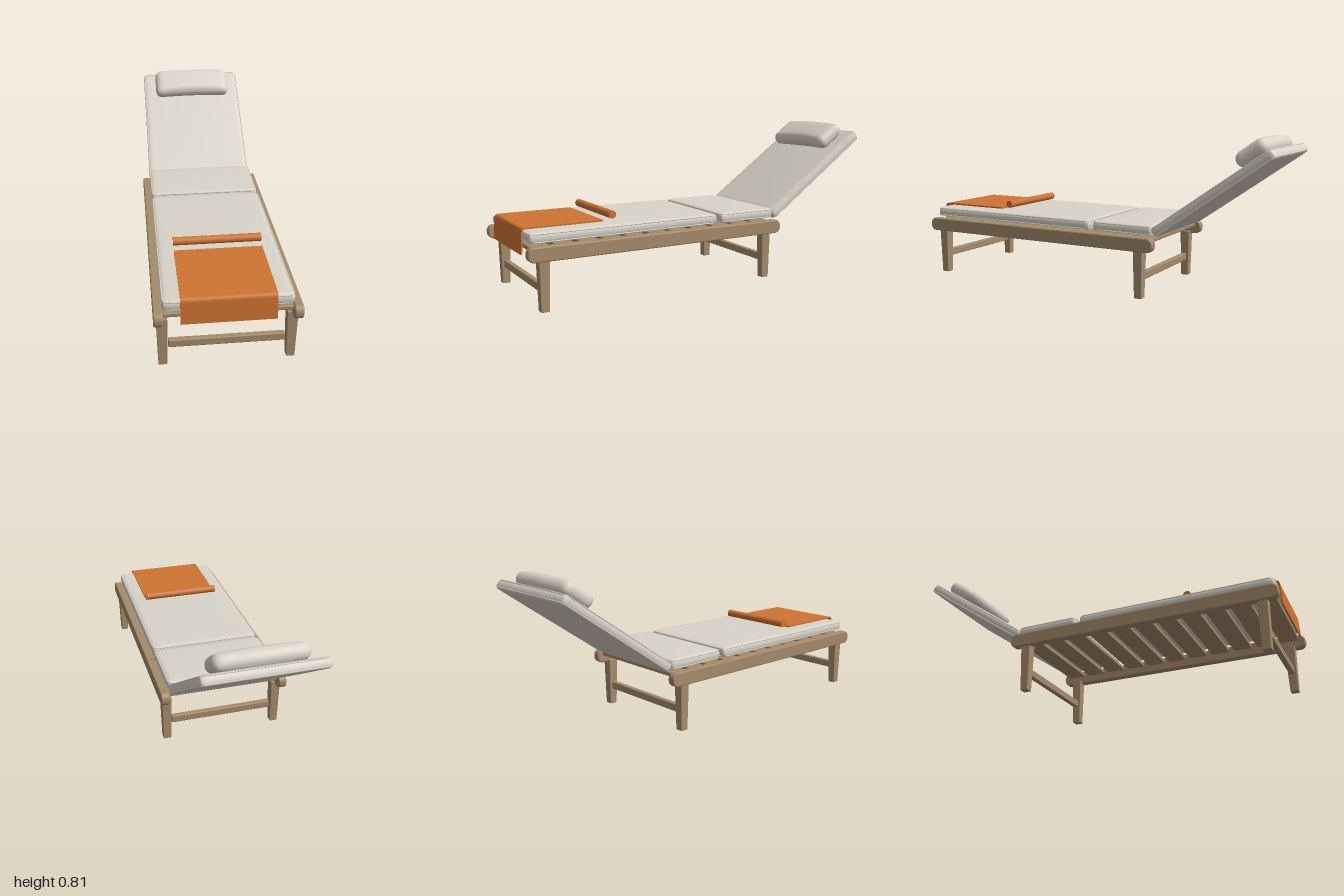
import * as THREE from 'three';
import { mergeVertices } from 'three/addons/utils/BufferGeometryUtils.js';
import { RoundedBoxGeometry } from 'three/addons/geometries/RoundedBoxGeometry.js';

const mat = (name, color) => {
  const m = new THREE.MeshStandardMaterial({ color });
  m.name = name;
  return m;
};

// Soft box: edges rounded by r, both broad faces swollen by bulge, optional arch along x
function softBox(w, h, d, r, bulge, arch = 0) {
  let g = new THREE.BoxGeometry(2, 2, 2, 24, 8, 24);
  g.deleteAttribute('normal');
  g.deleteAttribute('uv');
  g = mergeVertices(g);
  const half = new THREE.Vector3(w / 2, h / 2, d / 2);
  const inner = half.clone().subScalar(r);
  const p = new THREE.Vector3();
  const q = new THREE.Vector3();
  const pos = g.attributes.position;
  const spread = (t) => Math.sin((t * Math.PI) / 2);
  for (let i = 0; i < pos.count; i++) {
    const u = spread(pos.getX(i)), v = spread(pos.getZ(i));
    p.set(u, spread(pos.getY(i)), v).multiply(half);
    q.copy(p).clamp(inner.clone().negate(), inner);
    p.sub(q).setLength(r).add(q);
    p.y += (p.y / half.y) * bulge * (1 - u * u) * (1 - v * v);
    p.z -= arch * (1 - u * u);
    pos.setXYZ(i, p.x, p.y, p.z);
  }
  g.computeVertexNormals();
  return g;
}

// Closed piping cord following a rounded rectangle in the xz plane
function piping(w, d, corner, r) {
  const x = w / 2, z = d / 2, pts = [];
  [[1, 1, 0], [-1, 1, 1], [-1, -1, 2], [1, -1, 3]].forEach(([sx, sz, k]) => {
    for (let i = 0; i <= 4; i++) {
      const a = (k + i / 4) * Math.PI / 2;
      pts.push(new THREE.Vector3(
        sx * (x - corner) + Math.cos(a) * corner, 0, sz * (z - corner) + Math.sin(a) * corner));
    }
  });
  const path = new THREE.CurvePath();
  pts.forEach((p, i) => path.add(new THREE.LineCurve3(p, pts[(i + 1) % pts.length])));
  return new THREE.TubeGeometry(path, 160, r, 6, true);
}

export function createModel() {
  const model = new THREE.Group();
  model.name = 'sunLounger';
  const wood = mat('wood', 0xa58b6b);
  const fabric = mat('cushionFabric', 0xd9d4c8);
  const orange = mat('orangeTowel', 0xcf7433);

  const add = (name, geo, material, x = 0, y = 0, z = 0, parent = model) => {
    const m = new THREE.Mesh(geo, material);
    m.name = name;
    m.position.set(x, y, z);
    parent.add(m);
    return m;
  };

  // Side rails with rounded ends
  const rail = new THREE.Shape();
  const rl = 0.699, rh = 0.03, rr = 0.026;
  rail.moveTo(-rl + rr, -rh);
  rail.lineTo(rl - rr, -rh);
  rail.absarc(rl - rr, -rh + rr, rr, -Math.PI / 2, 0);
  rail.absarc(rl - rr, rh - rr, rr, 0, Math.PI / 2);
  rail.absarc(-rl + rr, rh - rr, rr, Math.PI / 2, Math.PI);
  rail.absarc(-rl + rr, -rh + rr, rr, Math.PI, Math.PI * 1.5);
  const railGeo = new THREE.ExtrudeGeometry(rail, {
    depth: 0.03, bevelThickness: 0.006, bevelSize: 0.006, bevelSegments: 2, curveSegments: 8 });
  railGeo.translate(0, 0, -0.015).rotateY(Math.PI / 2);
  for (const s of [1, -1]) add(s > 0 ? 'leftRail' : 'rightRail', railGeo, wood, s * 0.312, 0.276, 0.295);

  // Tapered legs and the stretchers joining each pair
  const legGeo = new RoundedBoxGeometry(0.051, 0.252, 0.052, 1, 0.003);
  const lp = legGeo.attributes.position;
  for (let i = 0; i < lp.count; i++) {
    const k = 0.89 + 0.11 * (lp.getY(i) / 0.126);
    lp.setX(i, lp.getX(i) * k);
    lp.setZ(i, lp.getZ(i) * k);
  }
  const stretcherGeo = new RoundedBoxGeometry(0.536, 0.04, 0.028, 2, 0.006);
  for (const [end, z] of [['front', 0.919], ['back', -0.325]]) {
    for (const s of [1, -1]) add(end + 'Leg', legGeo, wood, s * 0.295, 0.126, z);
    add(end + 'Stretcher', stretcherGeo, wood, 0, 0.108, z);
  }

  // Slatted bed
  const slatGeo = new RoundedBoxGeometry(0.588, 0.022, 0.098, 2, 0.006);
  for (let i = 0; i < 11; i++) add('slat', slatGeo, wood, 0, 0.291, 0.92 - i * 0.125);

  // Cushions, each with piping on both edges
  const cushion = (name, length, y, z, tilt = 0) => {
    const group = new THREE.Group();
    group.name = name;
    group.position.set(0, y, z);
    group.rotation.x = tilt;
    model.add(group);
    add(name + 'Pad', softBox(0.59, 0.052, length, 0.02, 0.006), fabric, 0, 0, 0, group);
    const cord = piping(0.582, length - 0.008, 0.022, 0.004);
    for (const s of [1, -1]) add(name + 'Piping', cord, fabric, 0, s * 0.019, 0, group);
    return group;
  };
  cushion('legCushion', 1.01, 0.343, 0.474);
  cushion('seatCushion', 0.335, 0.343, -0.22);
  const back = cushion('backCushion', 0.73, 0.539, -0.688, THREE.MathUtils.degToRad(35));

  // Head pillow resting on the backrest
  add('headPillow', softBox(0.45, 0.078, 0.18, 0.038, 0.01, 0.008), fabric, 0, 0.066, -0.25, back);

  // Towel draped over the foot end
  const towel = new THREE.Shape();
  towel.moveTo(0.58, 0.376);
  towel.lineTo(0.97, 0.376);
  towel.quadraticCurveTo(0.981, 0.376, 0.982, 0.362);
  towel.lineTo(0.988, 0.258);
  towel.lineTo(0.995, 0.258);
  towel.lineTo(0.989, 0.364);
  towel.quadraticCurveTo(0.987, 0.384, 0.97, 0.384);
  towel.lineTo(0.58, 0.384);
  const towelGeo = new THREE.ExtrudeGeometry(towel, { depth: 0.428, bevelEnabled: false, curveSegments: 6 });
  towelGeo.translate(0, 0, -0.214).rotateY(-Math.PI / 2);
  towelGeo.scale(1, 1, 1);
  add('drapedTowel', towelGeo, orange);

  // Rolled towel
  const roll = new THREE.CylinderGeometry(0.02, 0.02, 0.428, 24);
  roll.rotateZ(Math.PI / 2);
  add('rolledTowel', roll, orange, 0, 0.405, 0.53);

  return model;
}
